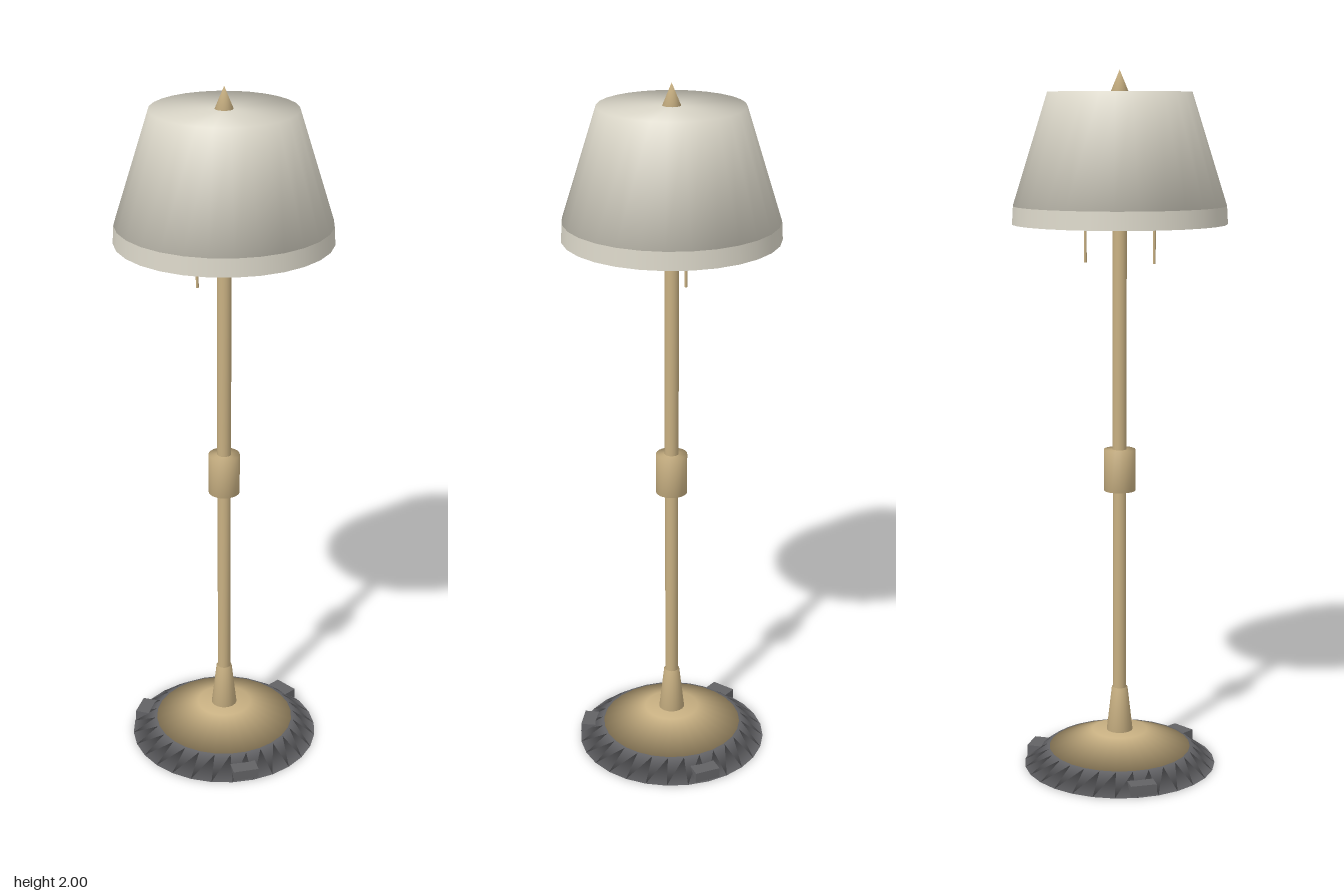
import * as THREE from 'three';
import { mergeVertices } from 'three/addons/utils/BufferGeometryUtils.js';

const SIDES = 28;

const material = (name, color, side = THREE.FrontSide) => {
  const m = new THREE.MeshStandardMaterial({ color, side });
  m.name = name;
  return m;
};

// Share vertices across edges so the shading runs softly over every rim.
function soften(geometry) {
  geometry.deleteAttribute('uv');
  geometry.deleteAttribute('normal');
  const soft = mergeVertices(geometry, 1e-4);
  soft.computeVertexNormals();
  return soft;
}

export function createModel() {
  const lamp = new THREE.Group();
  lamp.name = 'floorLamp';

  const brass = material('brass', 0xc8b082);
  const iron = material('darkIron', 0x626265);
  const linen = material('linen', 0xdbd7c9, THREE.DoubleSide);

  function add(name, geometry, mat, x = 0, y = 0, z = 0) {
    const mesh = new THREE.Mesh(geometry, mat);
    mesh.name = name;
    mesh.position.set(x, y, z);
    lamp.add(mesh);
    return mesh;
  }

  // Upright round part between two heights.
  function round(name, mat, y0, r0, y1, r1, sides = SIDES, x = 0) {
    const g = soften(new THREE.CylinderGeometry(r1, r0, y1 - y0, sides));
    return add(name, g, mat, x, (y0 + y1) / 2);
  }

  // Weighted base with a brass dome
  round('basePlate', iron, 0, 0.28, 0.05, 0.212);
  round('baseDome', brass, 0.048, 0.212, 0.1, 0.08);

  // Three pads around the base rim
  for (let i = 0; i < 3; i++) {
    const a = (i * Math.PI * 2) / 3;
    const pad = add('basePad', new THREE.BoxGeometry(0.05, 0.03, 0.075), iron,
      Math.cos(a) * 0.25, 0.018, Math.sin(a) * 0.25);
    pad.rotation.y = -a;
  }

  // Stem
  round('stemFoot', brass, 0.1, 0.038, 0.23, 0.023, 20);
  round('lowerPole', brass, 0.22, 0.019, 0.88, 0.019, 16);
  round('stemCollar', brass, 0.82, 0.045, 0.94, 0.045, 24);
  round('upperPole', brass, 0.88, 0.02, 1.6, 0.02, 16);
  round('socket', brass, 1.57, 0.03, 1.64, 0.03, 20);

  // Closed shade with an open trim band below it
  round('shade', linen, 1.63, 0.298, 1.94, 0.2);
  add('shadeBand', new THREE.CylinderGeometry(0.298, 0.301, 0.05, SIDES, 1, true),
    linen, 0, 1.605);

  // Pointed finial
  const finial = soften(new THREE.ConeGeometry(0.025, 0.06, 20));
  add('finial', finial, brass, 0, 1.97);

  // Pull cords on both sides
  for (const s of [-1, 1]) {
    round('pullCord', brass, 1.47, 0.004, 1.635, 0.004, 8, s * 0.1);
  }

  return lamp;
}
